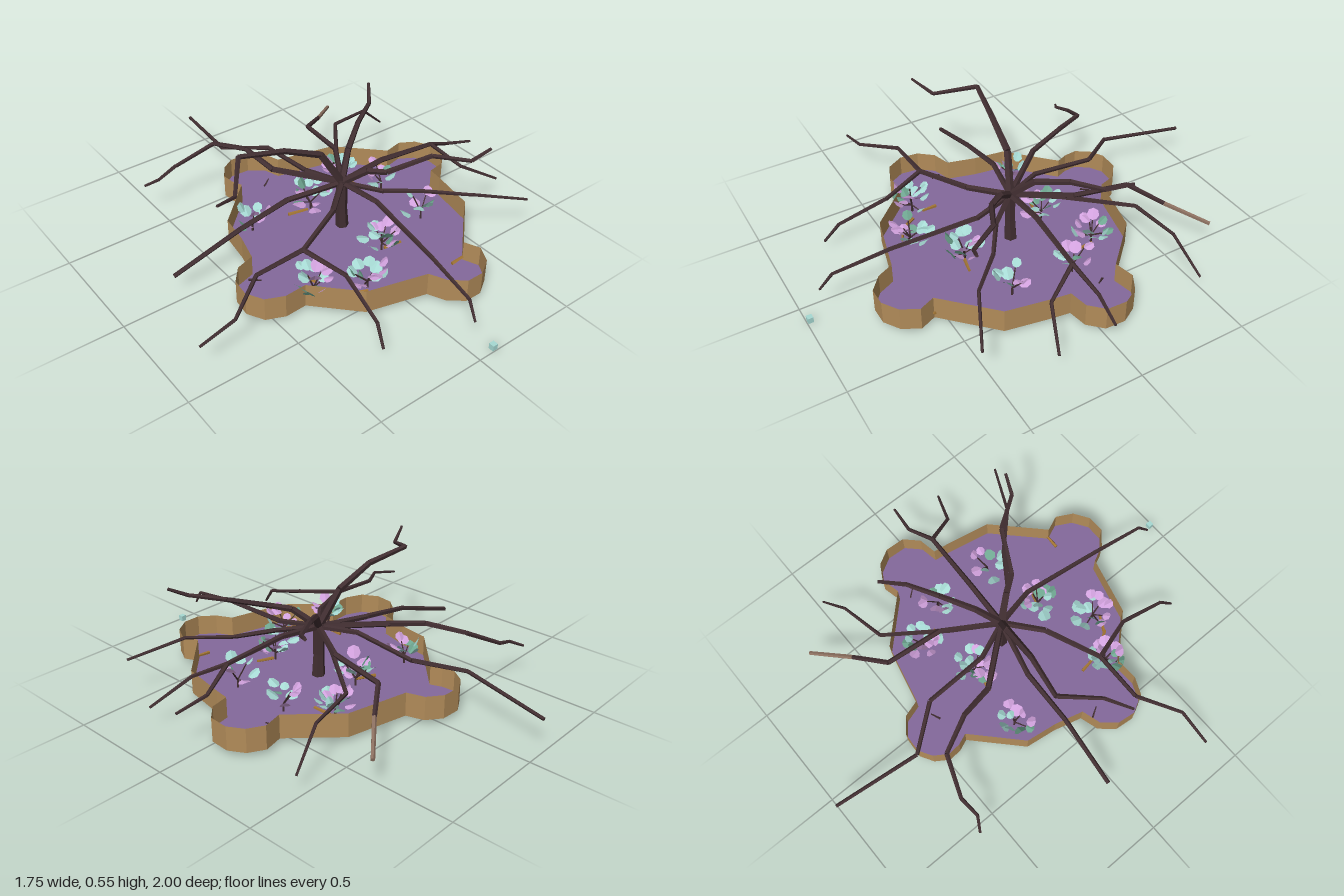
import * as THREE from 'three';

const mat = (name, color, side = THREE.FrontSide) => {
  const m = new THREE.MeshStandardMaterial({ color, side, flatShading: true });
  m.name = name;
  return m;
};

export function createModel() {
  const root = new THREE.Group();
  const D = THREE.DoubleSide;
  const wood = mat('wood', 0xb18b59, D);
  const soil = mat('purple soil', 0x84699b, D);
  const bark = mat('dark bark', 0x412e31);
  const paleBark = mat('pale bark', 0x8c7060);
  const litter = mat('brown litter', 0xa37634);
  const teal = mat('teal leaf', 0xa6d9d3, D);
  const pink = mat('pink leaf', 0xd2a2de, D);
  const green = mat('green leaf', 0x70a892, D);
  const leafMats = [teal, pink, teal, pink, green];

  let seed = 11;
  const rnd = () => (seed = (seed * 16807) % 2147483647) / 2147483647;
  const V = (a) => new THREE.Vector3(...a);
  const add = (parent, geo, m, name) => {
    const mesh = new THREE.Mesh(geo, m);
    mesh.name = name;
    parent.add(mesh);
    return mesh;
  };

  // Tray outline, x and z
  const outline = [
    [-.175, -.38], [-.195, -.43], [-.2, -.49], [-.16, -.55], [-.1, -.585], [-.01, -.58], [.055, -.53], [.08, -.45],
    [.36, -.385], [.55, -.19], [.64, -.21], [.71, -.17], [.75, -.1], [.745, -.01], [.685, .05], [.6, .065],
    [.59, .135], [.55, .345], [.34, .55], [.37, .62], [.33, .695], [.26, .74], [.18, .74], [.115, .685], [.08, .61],
    [-.19, .54], [-.36, .36], [-.46, .365], [-.54, .33], [-.58, .255], [-.57, .17], [-.515, .105], [-.43, .08],
    [-.395, -.05], [-.375, -.19],
  ];
  const tray = new THREE.Group();
  tray.name = 'tray';
  root.add(tray);
  const shape = new THREE.Shape(outline.map(([x, z]) => new THREE.Vector2(x, -z)));
  const plate = (y, m, name) => {
    const p = add(tray, new THREE.ShapeGeometry(shape).rotateX(-Math.PI / 2), m, name);
    p.position.y = y;
  };
  plate(.02, wood, 'trayBottom');
  plate(.035, soil, 'soilSurface');

  // Thin rim wall around the outline
  const pos = [];
  outline.forEach(([x, z], i) => {
    const [u, w] = outline[(i + 1) % outline.length];
    const [a, b, c, d] = [[x, .02, z], [u, .02, w], [u, .13, w], [x, .13, z]];
    pos.push(...a, ...c, ...b, ...a, ...d, ...c);
  });
  const wall = new THREE.BufferGeometry();
  wall.setAttribute('position', new THREE.Float32BufferAttribute(pos, 3));
  wall.computeVertexNormals();
  add(tray, wall, wood, 'trayWall');

  // Tapered stick between two points
  const stick = (parent, a, b, r0, r1, m, name, sides = 6) => {
    const dir = b.clone().sub(a);
    const s = add(parent, new THREE.CylinderGeometry(r1, r0, dir.length(), sides), m, name);
    s.position.copy(a).add(b).multiplyScalar(.5);
    s.quaternion.setFromUnitVectors(new THREE.Vector3(0, 1, 0), dir.normalize());
  };

  // Bare tree: trunk and crooked branches
  const tree = new THREE.Group();
  tree.name = 'tree';
  root.add(tree);
  const hub = [.08, .27, .04];
  stick(tree, V([.085, .014, .04]), V([.08, .14, .04]), .031, .025, bark, 'lowerTrunk');
  stick(tree, V([.08, .14, .04]), V([.08, .285, .04]), .026, .026, bark, 'upperTrunk');
  const branch = (pts, r0 = .015, r1 = .006, tipMat = bark) => {
    const n = pts.length - 1;
    for (let i = 0; i < n; i++) {
      const ra = r0 + (r1 - r0) * i / n, rb = r0 + (r1 - r0) * (i + 1) / n;
      stick(tree, V(pts[i]), V(pts[i + 1]), ra, rb, i === n - 1 ? tipMat : bark, 'branch', 5);
    }
  };
  branch([hub, [.01, .27, -.13], [.01, .24, -.42], [-.13, .2, -.605], [-.075, .16, -1]], .013, .008);
  branch([hub, [-.12, .29, -.2], [-.155, .33, -.36], [-.23, .31, -.515], [-.4, .22, -.58], [-.495, .19, -.57], [-.553, .16, -.605]]);
  branch([hub, [-.01, .43, 0], [-.18, .505, -.02], [-.38, .535, -.06], [-.505, .48, .1], [-.617, .515, .15]], .019);
  branch([hub, [-.17, .25, -.02], [-.42, .205, -.02], [-.735, .1, -.04]], .014, .01);
  branch([hub, [.225, .27, -.19], [.26, .25, -.45], [.4, .2, -.55], [.56, .145, -.68]], .014, .009, paleBark);
  branch([hub, [.2, .26, -.15], [.39, .24, -.4], [.6, .22, -.44], [.75, .08, -.48]], .013, .005);
  branch([hub, [.17, .37, -.03], [.3, .42, -.12], [.43, .435, -.2], [.5, .475, -.29]], .017, .008);
  branch([hub, [.15, .35, .13], [.2, .36, .2], [.375, .42, .29], [.47, .43, .43], [.55, .475, .46]], .017, .007);
  branch([hub, [.2, .25, .18], [.35, .24, .28], [.5, .24, .43], [.73, .18, .545]], .013, .006);
  branch([hub, [.3, .3, .045], [.59, .28, .06], [.73, .21, .025], [.87, .18, .045]], .015, .006);
  branch([[.59, .28, .06], [.66, .2, .2], [.83, .1, .27]], .01, .006);
  branch([hub, [.125, .25, .23], [.085, .22, .61], [.06, .18, .86], [.045, .11, .915]], .014, .005);
  branch([hub, [-.07, .26, .17], [-.31, .235, .28], [-.245, .2, .48], [-.27, .13, .7], [-.29, .05, .765]], .015, .006);
  branch([[-.31, .235, .28], [-.54, .22, .28], [-.72, .175, .4], [-.88, .13, .4]], .011, .006);

  // Rounded leaf, lightly folded along its midrib
  const leafGeo = new THREE.BufferGeometry();
  const half = [[0, 0], [.016, .006], [.027, .024], [.02, .046], [0, .054]];
  const lp = [];
  for (const s of [1, -1]) {
    for (let i = 1; i < half.length - 1; i++) {
      for (const [x, y] of [half[0], half[i], half[i + 1]]) lp.push(s * x, y, x * .25);
    }
  }
  leafGeo.setAttribute('position', new THREE.Float32BufferAttribute(lp, 3));
  leafGeo.computeVertexNormals();

  // Leafy seedlings with forked stems
  const spots = [[-.26, -.17, 10], [.045, -.145, 15], [.29, -.25, 14], [.41, -.07, 9], [.4, .22, 8], [.11, .285, 15], [-.3, .335, 15], [-.1, .44, 14]];
  spots.forEach(([x, z, count], k) => {
    const plant = new THREE.Group();
    plant.name = 'seedling';
    plant.position.set(x, 0, z);
    root.add(plant);
    const fork = V([0, .07, 0]);
    stick(plant, V([0, .016, 0]), fork, .007, .005, bark, 'stem', 4);
    for (let i = 0; i < count; i++) {
      const a = i * 2.4 + k, r = .01 + .05 * rnd();
      const tip = V([Math.cos(a) * r, .065 + .085 * rnd(), Math.sin(a) * r]);
      if (i % 3 === 0) stick(plant, fork, tip, .004, .003, bark, 'twig', 4);
      const leaf = add(plant, leafGeo, leafMats[i % leafMats.length], 'leaf');
      leaf.position.copy(tip);
      leaf.rotation.set(.5 + rnd() * .9, Math.PI / 2 - a, 0, 'YXZ');
      leaf.scale.setScalar(.75 + .4 * rnd());
    }
  });

  // Fallen sticks on the soil
  const fallen = [[.28, .55, .35, .55], [.31, -.24, .32, -.16], [-.27, .23, -.26, .3], [-.24, .36, -.19, .44], [-.2, .43, -.12, .47], [-.07, -.16, .02, -.13], [.12, .29, .2, .31]];
  for (const [x, z, u, w] of fallen) stick(root, V([x, .042, z]), V([u, .05, w]), .008, .006, litter, 'fallenStick', 5);
  for (const [x, z, u, w] of [[-.47, .11, -.44, .16], [.52, -.15, .55, -.11], [-.03, -.41, .01, -.43]])
    stick(root, V([x, .045, z]), V([u, .06, w]), .005, .003, bark, 'fallenTwig', 4);

  // Loose pebble in front of the tray
  add(root, new THREE.BoxGeometry(.024, .026, .024), teal, 'pebble').position.set(.085, .013, .985);
  return root;
}
